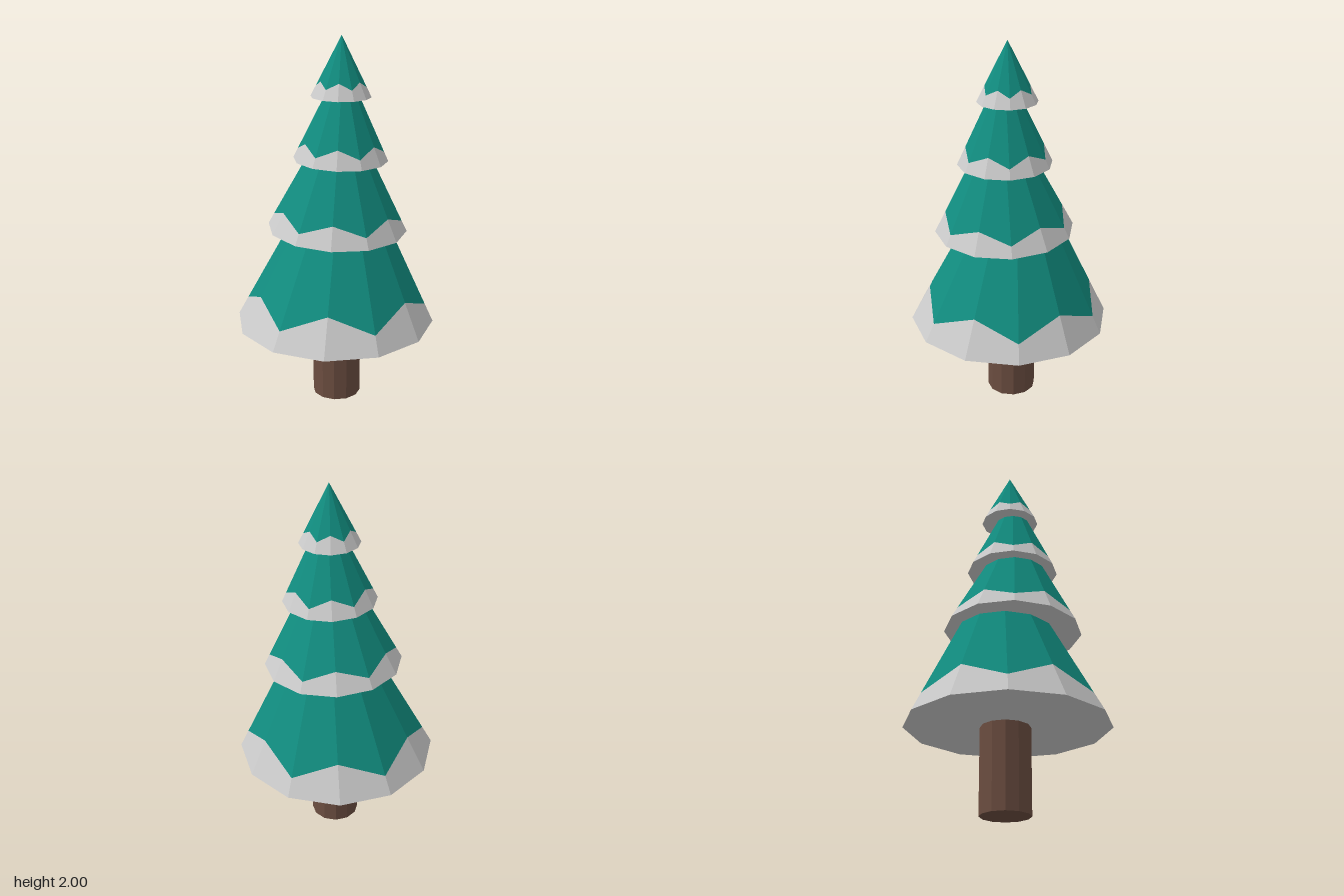
import * as THREE from 'three';

const SIDES = 12;
const snow = new THREE.MeshStandardMaterial({ color: 0xcccccc, flatShading: true });
const needles = new THREE.MeshStandardMaterial({ color: 0x118c7f, flatShading: true });
const bark = new THREE.MeshStandardMaterial({ color: 0x6b4d40, flatShading: true });

// Non-indexed geometry from a list of corner triples
function fromTriangles(points) {
  const geometry = new THREE.BufferGeometry().setFromPoints(points);
  geometry.computeVertexNormals();
  return geometry;
}

// One faceted cone: green above a zigzag line, snow below it, flat snow underside
function makeTier({ name, base, radius, apex, snowLow, snowHigh, tilt }) {
  const tip = new THREE.Vector3(...apex);
  const centre = new THREE.Vector3();
  const rim = [], line = [];
  for (let i = 0; i < SIDES; i++) {
    const a = (i / SIDES) * Math.PI * 2;
    rim.push(new THREE.Vector3(Math.cos(a) * radius, 0, Math.sin(a) * radius));
    line.push(rim[i].clone().lerp(tip, i % 2 ? snowHigh : snowLow));
  }
  const green = [], white = [];
  for (let i = 0; i < SIDES; i++) {
    const j = (i + 1) % SIDES;
    green.push(line[i], tip, line[j]);
    white.push(rim[i], line[i], line[j], rim[i], line[j], rim[j]);
    white.push(centre, rim[i], rim[j]);
  }
  const tier = new THREE.Group();
  tier.name = name;
  const foliage = new THREE.Mesh(fromTriangles(green), needles);
  foliage.name = name + 'Needles';
  const edge = new THREE.Mesh(fromTriangles(white), snow);
  edge.name = name + 'Snow';
  tier.add(foliage, edge);
  tier.position.set(...base);
  tier.rotation.set(...tilt);
  return tier;
}

export function createModel() {
  const tree = new THREE.Group();
  tree.name = 'snowyFirTree';

  // Trunk
  const trunk = new THREE.Mesh(new THREE.CylinderGeometry(0.132, 0.132, 0.48, SIDES), bark);
  trunk.name = 'trunk';
  trunk.position.set(0.008, 0.24, -0.013);
  tree.add(trunk);

  // Branch tiers from bottom to top, each slightly tilted
  const tiers = [
    { name: 'bottomTier', base: [0, 0.455, 0], radius: 0.54, apex: [0.045, 1.06, -0.03],
      snowLow: 0.092, snowHigh: 0.183, tilt: [0, 0, 0] },
    { name: 'lowerTier', base: [0.015, 0.992, 0.026], radius: 0.37, apex: [0, 0.71, 0],
      snowLow: 0.08, snowHigh: 0.16, tilt: [0.02, 0.015, -0.034] },
    { name: 'upperTier', base: [0.032, 1.365, 0.024], radius: 0.248, apex: [0, 0.52, 0],
      snowLow: 0.095, snowHigh: 0.185, tilt: [0.008, 0.015, -0.024] },
    { name: 'topTier', base: [0.032, 1.69, 0.011], radius: 0.157, apex: [0, 0.31, 0],
      snowLow: 0.165, snowHigh: 0.27, tilt: [0, 0, -0.01] },
  ];
  for (const tier of tiers) tree.add(makeTier(tier));
  return tree;
}
